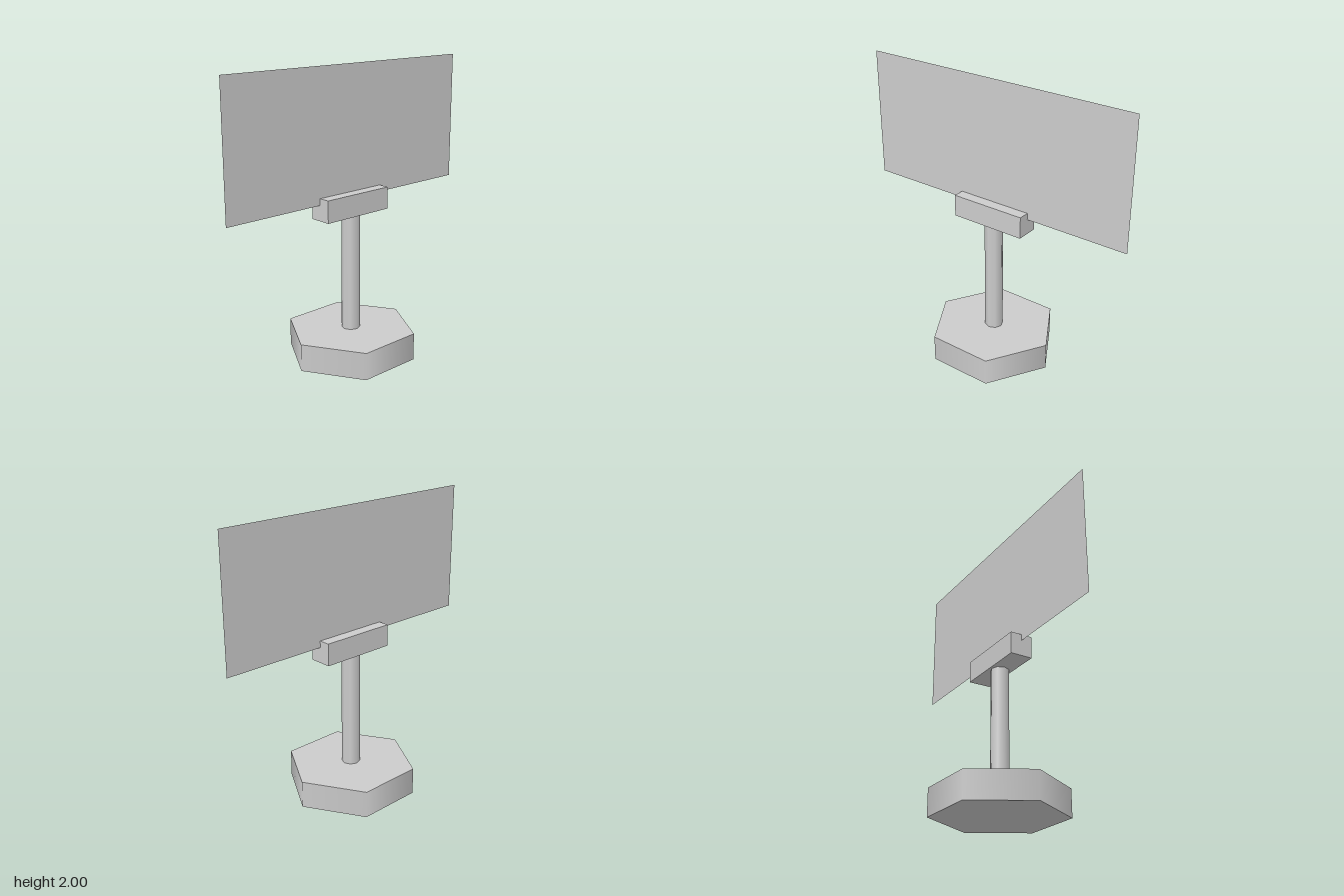
import * as THREE from 'three';

export function createModel() {
  const group = new THREE.Group();
  const grey = new THREE.MeshStandardMaterial({ color: 0xcccccc });
  const greySheet = new THREE.MeshStandardMaterial({ color: 0xcccccc, side: THREE.DoubleSide });

  const add = (name, geometry, y, material = grey) => {
    const mesh = new THREE.Mesh(geometry, material);
    mesh.name = name;
    mesh.position.y = y;
    group.add(mesh);
    return mesh;
  };
  grey.name = 'plain grey';
  greySheet.name = 'plain grey sheet';

  // Hexagonal foot with smooth sides, corners pointing left and right
  add('base', new THREE.CylinderGeometry(0.45, 0.45, 0.19, 6).rotateY(Math.PI / 2), 0.095);

  // Eight-sided post
  add('post', new THREE.CylinderGeometry(0.063, 0.063, 0.82, 8), 0.595);

  // Block that grips the lower edge of the panel
  add('clamp', new THREE.BoxGeometry(0.54, 0.152, 0.156), 1.08);

  // Paper-thin sign panel
  add('panel', new THREE.PlaneGeometry(2, 0.89), 1.555, greySheet);

  return group;
}
